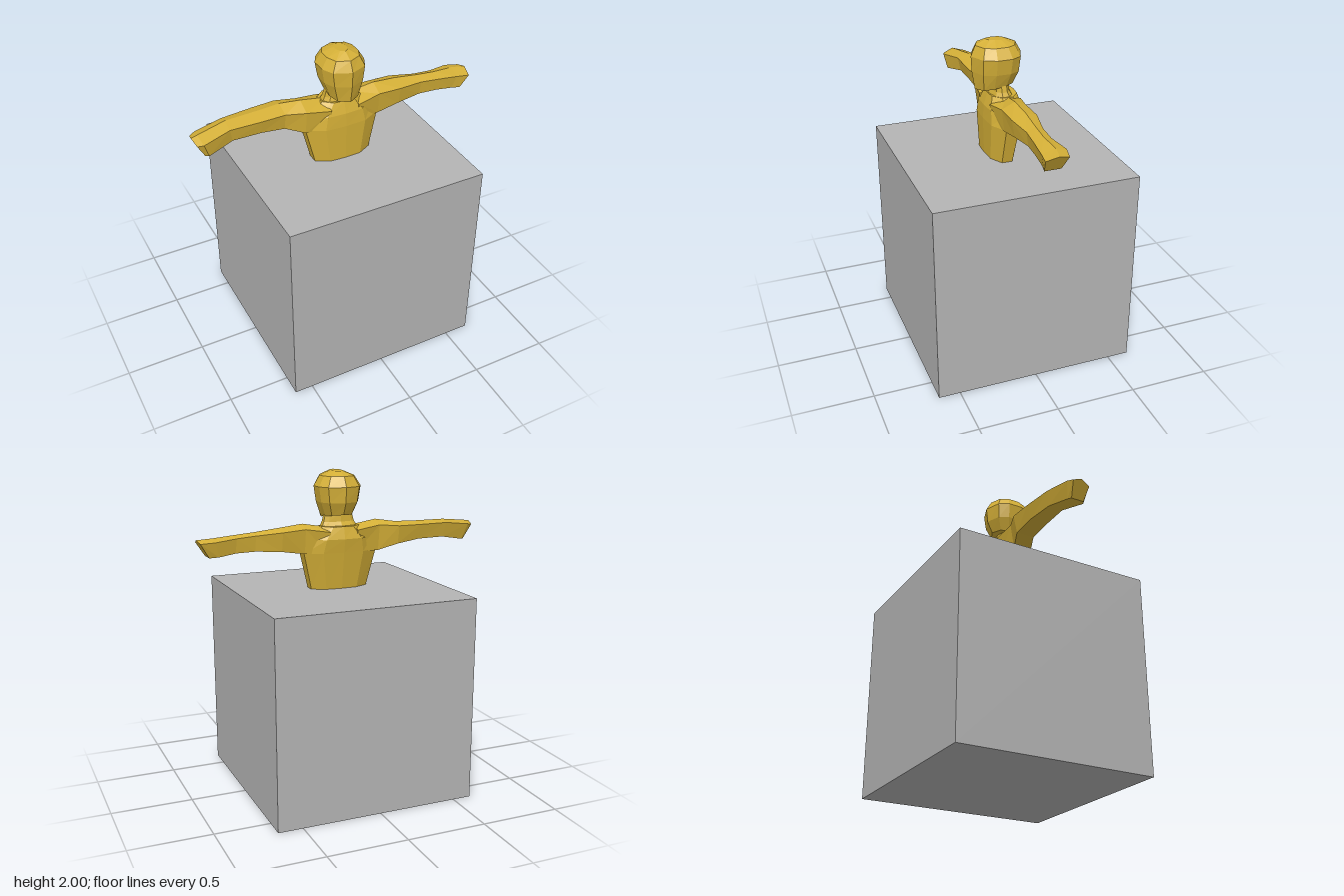
import * as THREE from 'three';

// Joins rings of points into a closed skin with capped ends, facing outward
function loft(rings) {
  const tris = [];
  const n = rings[0].length;
  for (let r = 0; r < rings.length - 1; r++) {
    for (let i = 0; i < n; i++) {
      const j = (i + 1) % n;
      const [a, b, c, d] = [rings[r][i], rings[r][j], rings[r + 1][j], rings[r + 1][i]];
      tris.push([a, b, c], [a, c, d]);
    }
  }
  const first = rings[0], last = rings[rings.length - 1];
  for (let i = 1; i < n - 1; i++) {
    tris.push([first[0], first[i + 1], first[i]], [last[0], last[i], last[i + 1]]);
  }
  let volume = 0;
  const cross = new THREE.Vector3();
  for (const [a, b, c] of tris) volume += a.dot(cross.crossVectors(b, c));
  const points = tris.flatMap(([a, b, c]) => (volume < 0 ? [a, c, b] : [a, b, c]));
  const geometry = new THREE.BufferGeometry().setFromPoints(points);
  geometry.computeVertexNormals();
  return geometry;
}

// Half outline (x fraction, z fraction from back to front) mirrored to a full ring
function mirrored(half) {
  return [...half, ...half.slice(1, -1).reverse().map(([x, z]) => [-x, z])];
}

// Horizontal ring; the back may sit at another height than the front
function levelRing(outline, [halfWidth, zBack, zFront, yFront, yBack = yFront]) {
  return outline.map(([x, z]) => new THREE.Vector3(
    0.01 + x * halfWidth,
    THREE.MathUtils.lerp(yBack, yFront, z),
    THREE.MathUtils.lerp(zBack, zFront, z)
  ));
}

// Upright arm ring: fractions are z (back to front) and y (bottom to top)
const armOutline = [[0.45, 1], [1, 0.78], [0.88, 0], [0.15, 0], [0, 0.85]];
function armRing([xTop, xBottom, yBottom, yTop, zBack, zFront]) {
  return armOutline.map(([z, y]) => new THREE.Vector3(
    THREE.MathUtils.lerp(xBottom, xTop, y),
    THREE.MathUtils.lerp(yBottom, yTop, y),
    THREE.MathUtils.lerp(zBack, zFront, z)
  ));
}

export function createModel() {
  const model = new THREE.Group();
  model.name = 'bustOnBlock';

  const gold = new THREE.MeshStandardMaterial({ color: 0xd4af37 });
  gold.name = 'gold';
  const grey = new THREE.MeshStandardMaterial({ color: 0xb4b4b4 });
  grey.name = 'grey';
  gold.flatShading = true;

  function add(name, geometry, material) {
    const mesh = new THREE.Mesh(geometry, material);
    mesh.name = name;
    model.add(mesh);
    return mesh;
  }

  // Block
  add('block', new THREE.BoxGeometry(1.27, 1.275, 1.27), grey).position.set(0.02, 0.6375, 0);

  // Torso, running a little way into the block
  const torsoOutline = mirrored([[0, 1], [0.55, 0.97], [1, 0.7], [1, 0.3], [0.55, 0.04], [0, 0]]);
  add('torso', loft([
    [0.18, -0.06, 0.105, 1.2],
    [0.185, -0.06, 0.105, 1.275],
    [0.24, -0.095, 0.11, 1.505],
    [0.21, -0.11, 0.105, 1.59],
    [0.12, -0.09, 0.08, 1.665],
  ].map((r) => levelRing(torsoOutline, r))), gold);

  // Neck
  const headOutline = mirrored([[0, 1], [0.75, 0.86], [1, 0.62], [1, 0.32], [0.74, 0.12], [0, 0]]);
  add('neck', loft([
    [0.125, -0.08, 0.085, 1.64],
    [0.1, -0.045, 0.065, 1.69],
    [0.085, -0.04, 0.065, 1.75],
  ].map((r) => levelRing(headOutline, r))), gold);

  // Head
  add('head', loft([
    [0.088, -0.085, 0.16, 1.7, 1.735],
    [0.122, -0.12, 0.178, 1.81],
    [0.137, -0.13, 0.183, 1.905],
    [0.1, -0.095, 0.155, 1.968],
    [0.035, -0.03, 0.09, 2.0, 1.995],
  ].map((r) => levelRing(headOutline, r))), gold);

  // Arms, posed slightly differently
  add('rightArm', loft([
    [-0.08, -0.08, 1.5, 1.665, -0.1, 0.1],
    [-0.235, -0.235, 1.5, 1.69, -0.085, 0.08],
    [-0.35, -0.35, 1.54, 1.675, -0.13, 0.035],
    [-0.5, -0.5, 1.56, 1.67, -0.12, 0.04],
    [-0.7, -0.68, 1.56, 1.668, -0.098, 0.035],
    [-0.88, -0.84, 1.53, 1.647, -0.07, 0.08],
    [-0.92, -0.86, 1.53, 1.64, -0.05, 0.065],
  ].map(armRing)), gold);

  add('leftArm', loft([
    [0.1, 0.1, 1.5, 1.66, -0.1, 0.1],
    [0.25, 0.25, 1.505, 1.685, -0.07, 0.08],
    [0.4, 0.4, 1.53, 1.67, -0.08, 0.075],
    [0.56, 0.56, 1.54, 1.652, -0.05, 0.05],
    [0.68, 0.68, 1.537, 1.642, -0.05, 0.057],
    [0.82, 0.79, 1.525, 1.632, -0.08, 0.068],
    [0.91, 0.845, 1.52, 1.625, -0.06, 0.078],
  ].map(armRing)), gold);

  return model;
}
